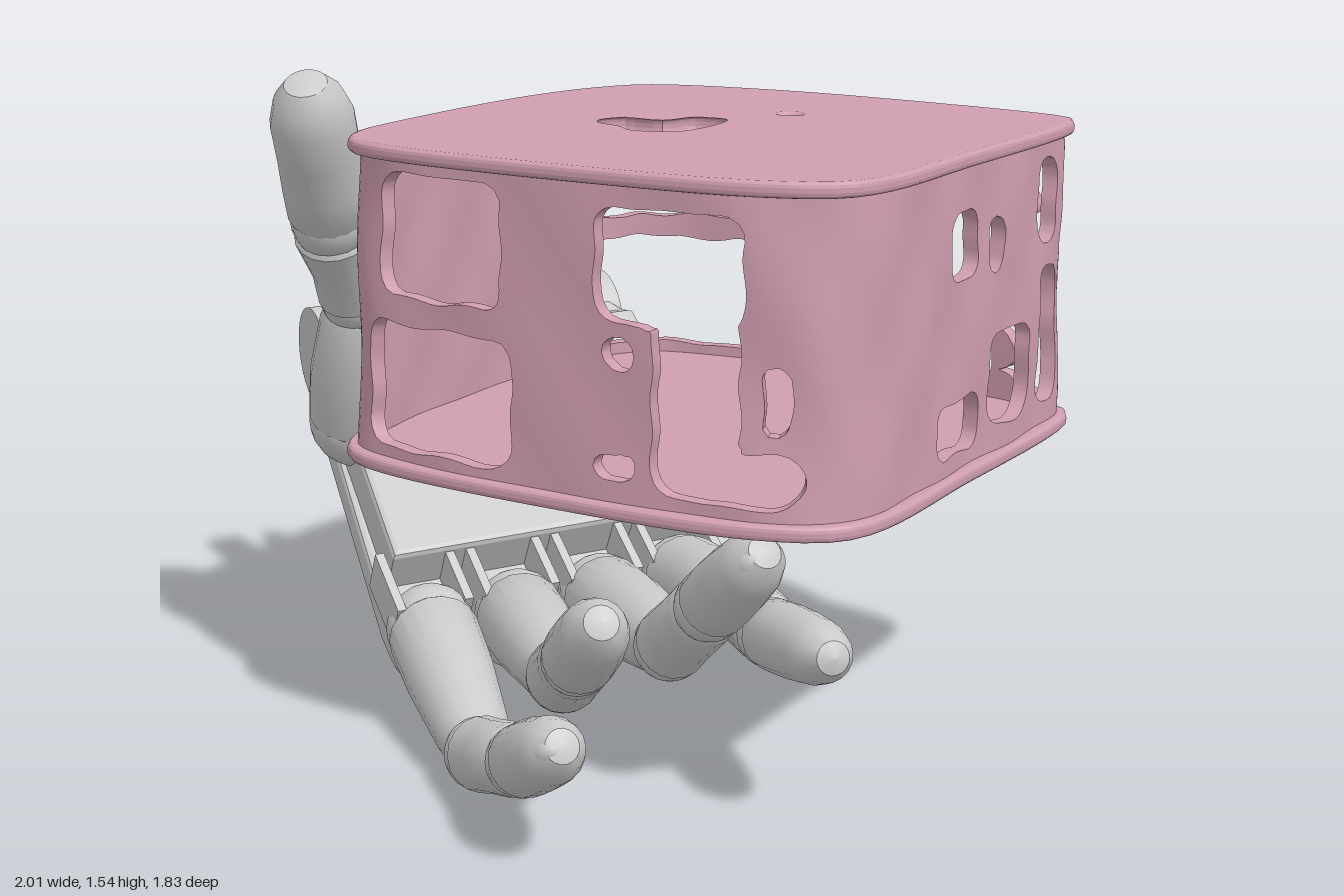
import * as THREE from 'three';
import { toCreasedNormals } from 'three/addons/utils/BufferGeometryUtils.js';

const V = (x, y, z) => new THREE.Vector3(x, y, z);
const grey = new THREE.MeshStandardMaterial({ color: 0xcccccc });
const pink = new THREE.MeshStandardMaterial({ color: 0xd09eb0, side: THREE.DoubleSide });

function add(parent, name, geo, mat = grey) {
  const m = new THREE.Mesh(geo, mat);
  m.name = name;
  parent.add(m);
  return m;
}

// ---------- container ----------
const MID = V(0.33, 0, -0.1);
const outline = new THREE.CatmullRomCurve3([
  [-0.2, -0.7], [0.1, -0.775], [0.55, -0.77], [0.93, -0.71], [0.965, -0.67], [0.985, -0.1], [0.96, 0.41],
  [0.82, 0.51], [0.4, 0.56], [-0.19, 0.52], [-0.285, 0.42], [-0.33, 0.1], [-0.33, -0.35], [-0.28, -0.58],
].map(([x, z]) => V(x, 0, z)), true, 'centripetal');

// Openings: side, range along the side, range in height
const openings = [
  ['front', -0.14, 0.2, 1.09, 1.36], ['front', -0.18, 0.23, 0.75, 1.03], ['front', 0.44, 0.78, 1.1, 1.34],
  ['front', 0.58, 0.77, 0.75, 1.16], ['front', 0.46, 0.54, 1.0, 1.08], ['front', 0.44, 0.54, 0.77, 0.83],
  ['front', 0.7, 0.9, 0.75, 0.86], ['front', 0.82, 0.87, 0.9, 1.04],
  ['right', -0.16, 0, 1.14, 1.29], ['right', -0.18, 0.05, 0.76, 0.88], ['right', -0.45, -0.22, 0.78, 0.99],
  ['right', -0.28, -0.21, 1.13, 1.25], ['right', -0.6, -0.49, 1.15, 1.35], ['right', -0.63, -0.5, 0.78, 1.1],
  ['right', -0.73, -0.65, 1.1, 1.35], ['right', -0.74, -0.66, 0.76, 1.04],
  ['back', 0.29, 0.78, 0.75, 1.35], ['back', -0.35, 0.22, 1.09, 1.36], ['back', -0.35, 0.23, 0.75, 1.03],
  ['left', -0.8, -0.52, 1.1, 1.35], ['left', -0.8, -0.52, 0.75, 1.03],
];
const onSide = {
  front: p => p.z > 0.3, back: p => p.z < -0.5, right: p => p.x > 0.8, left: p => p.x < -0.12,
};

// Distance to the nearest opening edge, negative inside an opening
function solidField(p, y) {
  let f = 1;
  for (const [side, a0, a1, y0, y1] of openings) {
    if (!onSide[side](p)) continue;
    const a = side === 'front' || side === 'back' ? p.x : p.z;
    const r = Math.min(0.05, (a1 - a0) / 2, (y1 - y0) / 2);
    const qx = Math.abs(a - (a0 + a1) / 2) - (a1 - a0) / 2 + r;
    const qy = Math.abs(y - (y0 + y1) / 2) - (y1 - y0) / 2 + r;
    f = Math.min(f, Math.hypot(Math.max(qx, 0), Math.max(qy, 0)) + Math.min(Math.max(qx, qy), 0) - r);
  }
  return f + 0.007 * Math.sin(p.x * 33 + y * 21) * Math.cos(p.z * 29 - y * 27);
}

// Closed wall sheet with thickness, cut along the zero line of the field
function wallGeometry(cols = 220, rows = 40, thick = 0.035) {
  const grid = [], pos = [];
  for (let i = 0; i <= cols; i++) {
    const s = (i % cols) / cols, base = outline.getPointAt(s), t = outline.getTangentAt(s);
    const out = V(t.z, 0, -t.x);
    grid.push([]);
    for (let j = 0; j <= rows; j++) {
      const v = j / rows, y = 0.71 + 0.685 * v;
      const o = base.clone().sub(MID).multiplyScalar(0.985 - 0.015 * v).add(MID).setY(y);
      o.addScaledVector(out, 0.005 * Math.sin(base.x * 17 + y * 13) * Math.cos(base.z * 19));
      grid[i].push({ o, i: o.clone().addScaledVector(out, -thick), f: solidField(base, y) });
    }
  }
  const tri = (a, b, c) => pos.push(...a.toArray(), ...b.toArray(), ...c.toArray());
  const clip = poly => {
    const res = [];
    poly.forEach((p, k) => {
      const q = poly[(k + 1) % poly.length];
      if (p.f > 0) res.push(p);
      if (p.f > 0 !== q.f > 0) {
        const t = p.f / (p.f - q.f);
        res.push({ o: p.o.clone().lerp(q.o, t), i: p.i.clone().lerp(q.i, t), f: 0 });
      }
    });
    res.forEach((p, k) => {
      const q = res[(k + 1) % res.length];
      if (k > 0 && k < res.length - 1) {
        tri(res[0].o, q.o, p.o);
        tri(res[0].i, p.i, q.i);
      }
      if (p.f === 0 && q.f === 0) {
        tri(p.o, q.o, q.i);
        tri(p.o, q.i, p.i);
      }
    });
  };
  for (let i = 0; i < cols; i++) for (let j = 0; j < rows; j++) {
    const a = grid[i][j], b = grid[i + 1][j], c = grid[i + 1][j + 1], d = grid[i][j + 1];
    clip([a, b, c]);
    clip([a, c, d]);
  }
  const geo = new THREE.BufferGeometry();
  geo.setAttribute('position', new THREE.Float32BufferAttribute(pos, 3));
  return toCreasedNormals(geo, 0.7);
}

// Flat lid or floor following the outline
function plateGeometry(scale, y, holes = []) {
  const pts = outline.getSpacedPoints(90).slice(0, -1).map(p => p.sub(MID).multiplyScalar(scale).add(MID));
  const shape = new THREE.Shape(pts.map(p => new THREE.Vector2(p.x, -p.z)));
  shape.holes = holes;
  const geo = new THREE.ExtrudeGeometry(shape, {
    depth: 0.01, bevelThickness: 0.012, bevelSize: 0.012, bevelOffset: -0.012, bevelSegments: 3, curveSegments: 12,
  });
  return toCreasedNormals(geo.rotateX(-Math.PI / 2).translate(0, y + 0.012, 0), 0.2);
}

function makeContainer() {
  const g = new THREE.Group();
  g.name = 'container';
  const gap = new THREE.CatmullRomCurve3([
    [0.05, -0.07], [0.08, -0.13], [0.18, -0.14], [0.21, -0.22], [0.31, -0.23], [0.335, -0.03], [0.3, 0.04],
    [0.2, 0.06], [0.15, 0.02], [0.07, -0.01],
  ].map(([x, z]) => V(x, -z, 0)), true, 'centripetal');
  const ragged = new THREE.Path(gap.getSpacedPoints(40).slice(0, -1).map(p => new THREE.Vector2(p.x, p.y)));
  const pin = new THREE.Path().absarc(0.375, 0.39, 0.025, 0, Math.PI * 2);
  add(g, 'lid', plateGeometry(1, 1.383, [ragged, pin]), pink);
  add(g, 'floor', plateGeometry(1.02, 0.69), pink);
  add(g, 'perforatedWall', wallGeometry(), pink);
  return g;
}

// ---------- hand ----------
function along(mesh, a, b) {
  mesh.position.copy(a);
  mesh.quaternion.setFromUnitVectors(V(0, 1, 0), b.clone().sub(a).normalize());
  return mesh;
}

function bone(parent, name, a, b, r0, r1, isTip) {
  const L = a.distanceTo(b);
  const prof = isTip
    ? [[0, 0], [r0 * 0.85, 0], [r0, 0.08], [r0, 0.3], [r0 * 0.97, 0.55], [r1 * 1.08, 0.8], [r1 * 0.88, 0.96], [r1 * 0.55, 1.06], [0, 1.1]]
    : [[0, 0], [r0 * 0.8, 0], [r0, 0.07], [r0 * 0.95, 0.4], [r1, 0.84], [r1 * 0.8, 0.95], [0, 0.97]];
  const geo = new THREE.LatheGeometry(prof.map(([r, t]) => new THREE.Vector2(r, t * L)), 18);
  return along(add(parent, name, toCreasedNormals(geo.toNonIndexed(), 0.6)), a, b);
}

function makeFinger(name, pts, radii, padDir) {
  const g = new THREE.Group();
  g.name = name;
  const p = pts.map(c => V(...c));
  for (let k = 0; k < 3; k++) {
    bone(g, ['proximalSegment', 'middleSegment', 'fingertip'][k], p[k], p[k + 1], radii[k], radii[k + 1], k === 2);
    add(g, 'joint', new THREE.SphereGeometry(radii[k] * 0.98, 18, 12)).position.copy(p[k]);
  }
  // Raised oval pad on the fingertip
  const pad = add(g, 'pad', new THREE.SphereGeometry(1, 14, 10));
  along(pad, p[2].clone().lerp(p[3], 0.72), p[3].clone().multiplyScalar(2).sub(p[2]));
  pad.position.addScaledVector(padDir, radii[3] * 0.56);
  pad.scale.set(radii[3] * 0.6, 0.075, radii[3] * 0.6);
  return g;
}

const shapeOf = points => new THREE.Shape(points.map(c => new THREE.Vector2(...c)));
const slab = (shape, depth, z) => new THREE.ExtrudeGeometry(shape, {
  depth: depth - 0.03, bevelThickness: 0.015, bevelSize: 0.015, bevelOffset: -0.015, bevelSegments: 2,
}).translate(0, 0, z + 0.015);

function makePalm() {
  // Local frame: x across the knuckles, y towards the wrist, z out of the palm
  const g = new THREE.Group();
  g.name = 'palm';
  const u = V(0.37, 0.03, -0.56).normalize(), l = V(-0.7, 0.55, -0.51);
  const n = u.clone().cross(l).normalize();
  g.applyMatrix4(new THREE.Matrix4().makeBasis(u, n.clone().cross(u), n));
  g.position.set(-0.25, 0.22, 0.2);
  const knuckles = [0, 0.223, 0.446, 0.67];

  // Back plate with a rounded lobe under each knuckle
  const back = new THREE.Shape().moveTo(-0.03, 0.9).lineTo(-0.095, 0.05);
  knuckles.forEach((k, i) => {
    back.absarc(k, -0.02, 0.093, Math.PI, Math.PI * 2);
    if (i < 3) back.lineTo(k + 0.1, 0.14).lineTo(k + 0.123, 0.14);
  });
  back.lineTo(0.81, 0.82).lineTo(0.79, 0.9);
  add(g, 'backPlate', slab(back, 0.09, -0.12));

  // Body of the palm, and a thicker heel at the wrist
  const body = [[-0.06, 0.14], [0.75, 0.14], [0.81, 0.78], [0.77, 0.87], [0.02, 0.87], [-0.03, 0.78]];
  add(g, 'palmBody', slab(shapeOf(body), 0.14, -0.05));
  const heel = [[0.04, 0.58], [0.79, 0.5], [0.81, 0.78], [0.77, 0.84], [0.02, 0.84], [-0.01, 0.78]];
  add(g, 'palmHeel', slab(shapeOf(heel), 0.1, 0.04));

  // Raised ridge along the outer edge
  const side = [[0.16, -0.06], [0.84, -0.06], [0.84, 0.1], [0.76, 0.17], [0.34, 0.17], [0.16, 0.08]];
  const ridge = add(g, 'sideRidge', slab(shapeOf(side), 0.16, 0));
  ridge.rotation.set(Math.PI / 2, Math.PI / 2, 0);
  ridge.position.x = 0.645;

  // Knuckle forks
  for (const k of knuckles) for (const s of [-1, 1]) {
    add(g, 'knuckleFork', new THREE.BoxGeometry(0.022, 0.18, 0.12)).position.set(k + s * 0.085, 0.08, 0.01);
  }
  // Wrist lugs and central fin
  const disc = (name, x, y, z, r, w) => {
    const m = add(g, name, new THREE.CylinderGeometry(r, r, w, 28));
    m.rotation.z = Math.PI / 2;
    m.position.set(x, y, z);
  };
  for (const [x, w] of [[0.015, 0.09], [0.16, 0.045], [0.6, 0.045], [0.77, 0.06]]) disc('wristLug', x, 0.89, 0.02, 0.13, w);
  disc('wristFin', 0.42, 0.83, 0.04, 0.2, 0.025);
  return g;
}

function makeHand() {
  const g = new THREE.Group();
  g.name = 'hand';
  g.add(makePalm());
  const pad = V(0.25, 0.3, 0.9).normalize();
  const fingers = {
    firstFinger: [[-0.25, 0.2, 0.2], [0.14, 0.085, 0.54], [0.36, 0.175, 0.7], [0.56, 0.305, 0.855]],
    secondFinger: [[-0.12, 0.21, 0.02], [0.25, 0.24, 0.38], [0.44, 0.39, 0.61], [0.615, 0.555, 0.795]],
    thirdFinger: [[0, 0.22, -0.17], [0.4, 0.28, 0.17], [0.6, 0.46, 0.34], [0.79, 0.64, 0.46]],
    fourthFinger: [[0.12, 0.24, -0.36], [0.44, 0.32, -0.07], [0.66, 0.36, 0.17], [0.915, 0.425, 0.39]],
  };
  for (const [name, pts] of Object.entries(fingers)) g.add(makeFinger(name, pts, [0.11, 0.085, 0.08, 0.066], pad));
  g.add(makeFinger('thumb', [[-0.65, 0.61, -0.04], [-0.54, 0.96, 0.1], [-0.485, 1.18, 0.25], [-0.4, 1.5, 0.43]],
    [0.125, 0.088, 0.1, 0.09], V(-0.1, 0.2, 0.95)));
  // Thumb mount blending into the palm
  const a = V(-0.6, 0.57, -0.24), b = V(-0.65, 0.61, -0.04);
  const mount = add(g, 'thumbMount', new THREE.CapsuleGeometry(0.125, a.distanceTo(b), 8, 18));
  along(mount, a, b).position.lerp(b, 0.5);
  return g;
}

export function createModel() {
  const model = new THREE.Group();
  model.name = 'handHoldingContainer';
  model.add(makeContainer(), makeHand());
  return model;
}
